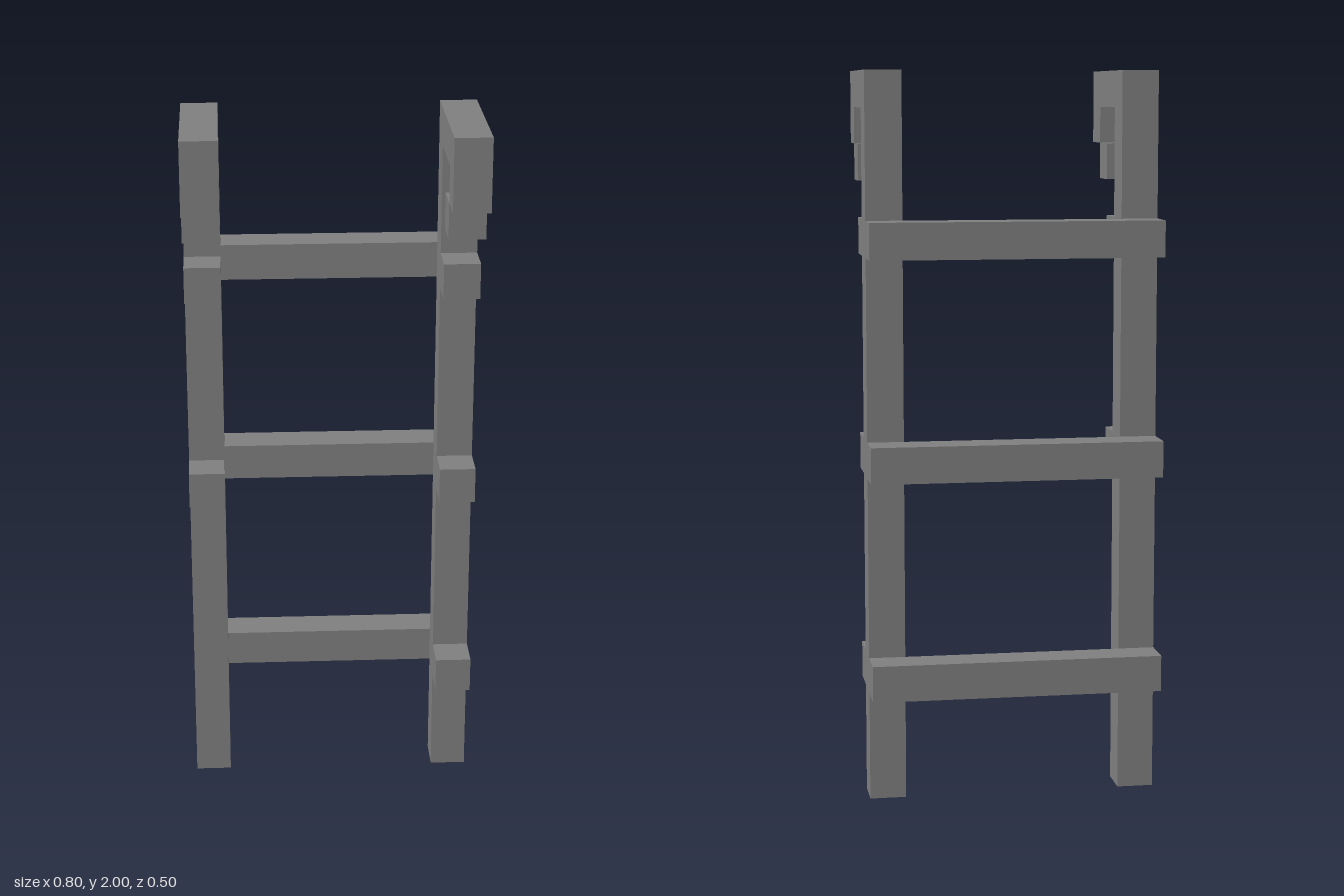
import * as THREE from 'three';

export function createModel() {
  const model = new THREE.Group();
  model.name = 'hookLadder';
  const grey = new THREE.MeshStandardMaterial({ color: 0x808080 });
  grey.name = 'grey';

  const bar = 0.1; // square section shared by every part
  const addBox = (name, width, x, y, z) => {
    const mesh = new THREE.Mesh(new THREE.BoxGeometry(width, bar, bar), grey);
    mesh.name = name;
    mesh.position.set(x, y, z);
    model.add(mesh);
  };

  // Side profile of a rail with its hook, as [z, y]
  const profile = [
    [-0.15, 0], [-0.05, 0], [-0.05, 1.9], [0.15, 1.9],
    [0.15, 1.8], [0.25, 1.8], [0.25, 2], [-0.15, 2],
  ].map(([z, y]) => new THREE.Vector2(-z, y));
  const railGeometry = new THREE.ExtrudeGeometry(new THREE.Shape(profile), { depth: bar, bevelEnabled: false });
  railGeometry.translate(0, 0, -bar / 2);
  railGeometry.rotateY(Math.PI / 2); // profile plane to the yz plane, extruded along x

  const rungHeights = [0.35, 0.95, 1.55];

  for (const [side, s] of [['left', 1], ['right', -1]]) {
    const rail = new THREE.Mesh(railGeometry, grey);
    rail.name = `${side}HookedRail`;
    rail.position.x = s * 0.35;
    model.add(rail);

    // Curled-in end of the hook
    addBox(`${side}HookTip`, bar, s * 0.35, 1.75, 0.1);

    // Front pegs; the right rail has none at the lowest rung
    rungHeights.forEach((y, i) => {
      if (s > 0 || i > 0) addBox(`${side}Peg${i + 1}`, bar, s * 0.35, y, 0);
    });
  }

  // Rungs across the back of the rails
  rungHeights.forEach((y, i) => addBox(`rung${i + 1}`, 0.8, 0, y, -0.2));

  return model;
}
